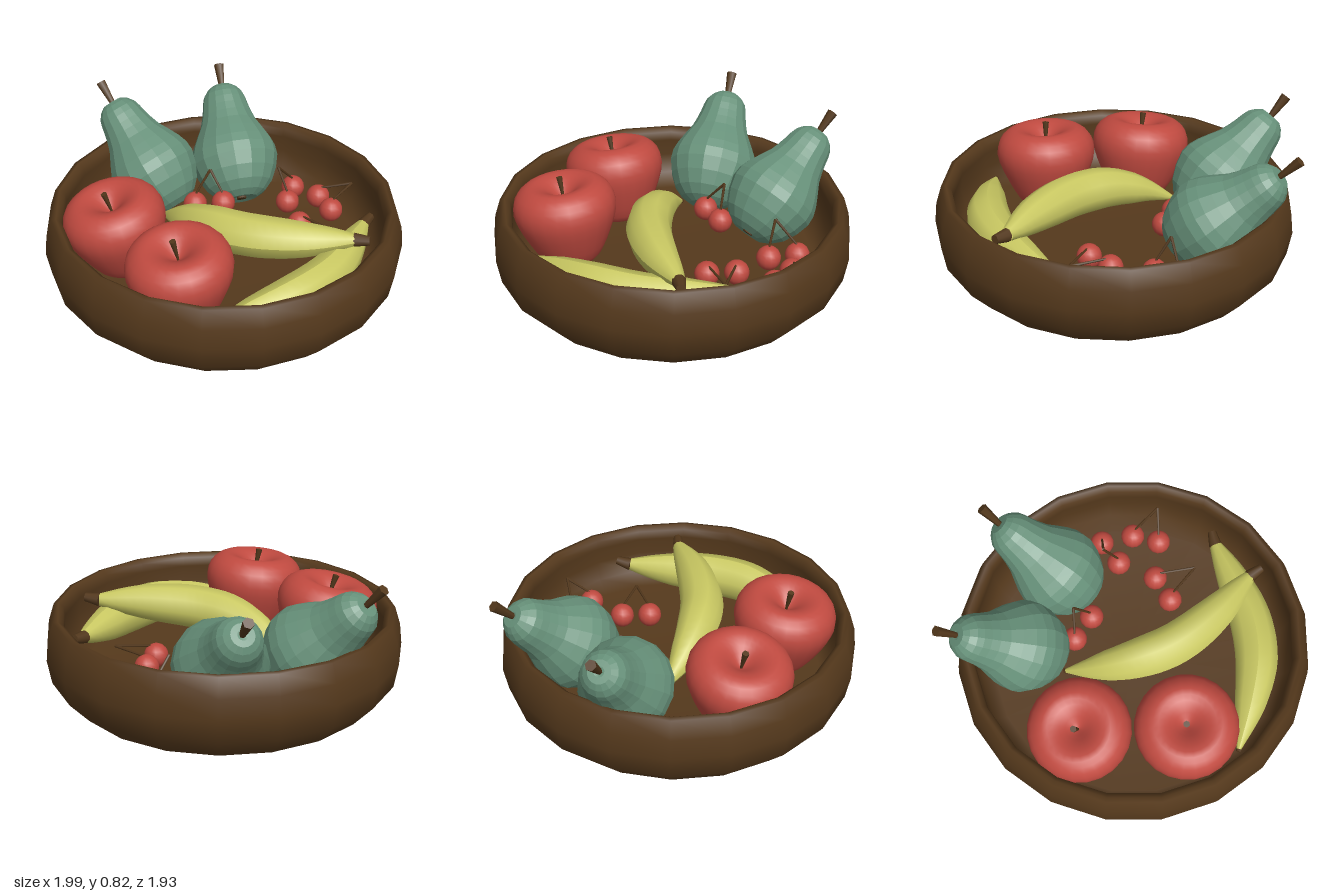
import * as THREE from 'three';

const V = (a) => new THREE.Vector3(...a);
const UP = new THREE.Vector3(0, 1, 0);
const mat = (color, extra = {}) => new THREE.MeshStandardMaterial({ color, ...extra });
const wood = mat(0x55391c, { side: THREE.DoubleSide });
const stemMat = mat(0x53381c);
const pearMat = mat(0x67917a, { flatShading: true });
const appleMat = mat(0xc04a40);
const bananaMat = mat(0xc9c862);

function mesh(name, geometry, material) {
  const m = new THREE.Mesh(geometry, material);
  m.name = name;
  return m;
}

function lathe(name, profile, sides, material) {
  return mesh(name, new THREE.LatheGeometry(profile.map(([r, y]) => new THREE.Vector2(r, y)), sides), material);
}

// Tapered rod from a to b
function rod(name, a, b, ra, rb, sides = 6) {
  const d = b.clone().sub(a);
  const m = mesh(name, new THREE.CylinderGeometry(rb, ra, d.length(), sides), stemMat);
  m.position.copy(a).addScaledVector(d, 0.5);
  m.quaternion.setFromUnitVectors(UP, d.normalize());
  return m;
}

// Smooth profile through a few [radius, height] points
function smooth(points, n) {
  const curve = new THREE.SplineCurve(points.map(([r, y]) => new THREE.Vector2(r, y)));
  return curve.getPoints(n).map((p) => [Math.max(p.x, 0), p.y]);
}

// Fruit leaning along a direction
function lean(name, center, direction, parts) {
  const g = new THREE.Group();
  g.name = name;
  g.add(...parts);
  g.position.copy(V(center));
  g.quaternion.setFromUnitVectors(UP, V(direction).normalize());
  return g;
}

function pear(center, direction) {
  const body = lathe('pearBody', smooth([
    [0, -0.2], [0.09, -0.225], [0.19, -0.15], [0.25, 0], [0.228, 0.11],
    [0.165, 0.23], [0.135, 0.33], [0.115, 0.41], [0.06, 0.465], [0, 0.46],
  ], 18), 16, pearMat);
  return lean('pear', center, direction, [
    body,
    rod('pearStem', V([0, 0.44, 0]), V([0.01, 0.6, 0]), 0.014, 0.029),
    rod('pearCalyx', V([0, -0.225, 0]), V([0, -0.18, 0]), 0.03, 0.02),
  ]);
}

function apple(center, direction) {
  const body = lathe('appleBody', smooth([
    [0, -0.18], [0.07, -0.22], [0.15, -0.2], [0.225, -0.07], [0.275, 0.07],
    [0.255, 0.17], [0.18, 0.225], [0.1, 0.205], [0.03, 0.15], [0, 0.13],
  ], 24), 24, appleMat);
  return lean('apple', center, direction, [
    body, rod('appleStem', V([0, 0.13, 0]), V([-0.01, 0.255, 0.01]), 0.006, 0.018),
  ]);
}

// Curved tube whose radius follows a list of values spread along its length
function banana(path, stemEnd) {
  const segs = 24, sides = 10;
  const radii = [0.012, 0.05, 0.085, 0.105, 0.118, 0.12, 0.118, 0.11, 0.095, 0.07, 0.035];
  const curve = new THREE.CatmullRomCurve3(path.map(V));
  const geo = new THREE.TubeGeometry(curve, segs, 1, sides);
  const pos = geo.attributes.position, nor = geo.attributes.normal;
  for (let i = 0; i <= segs; i++) {
    const center = curve.getPointAt(i / segs);
    const f = (i / segs) * (radii.length - 1), k = Math.min(Math.floor(f), radii.length - 2);
    const r = THREE.MathUtils.lerp(radii[k], radii[k + 1], f - k);
    for (let j = 0; j <= sides; j++) {
      const id = i * (sides + 1) + j;
      const p = new THREE.Vector3().fromBufferAttribute(nor, id).multiplyScalar(r).add(center);
      pos.setXYZ(id, p.x, p.y, p.z);
    }
  }
  geo.computeVertexNormals();
  const g = new THREE.Group();
  g.name = 'banana';
  const first = V(path[0]), last = V(path[path.length - 1]);
  const out = first.clone().sub(curve.getPointAt(0.03)).normalize().multiplyScalar(0.012).add(first);
  g.add(mesh('bananaBody', geo, bananaMat),
    rod('bananaTip', first, out, 0.016, 0.014),
    rod('bananaStem', last, V(stemEnd), 0.037, 0.024, 8));
  return g;
}

// Two cherries whose stems meet at an apex
function cherryPair(a, b, apex) {
  const g = new THREE.Group();
  g.name = 'cherryPair';
  for (const c of [a, b]) {
    const ball = mesh('cherry', new THREE.SphereGeometry(0.067, 14, 10), appleMat);
    ball.position.copy(V(c));
    g.add(ball, rod('cherryStem', V(c).add(new THREE.Vector3(0, 0.055, 0)), V(apex), 0.006, 0.008, 5));
  }
  return g;
}

export function createModel() {
  const model = new THREE.Group();
  model.name = 'fruitBowl';

  // Bowl with rounded rim and hollow inside
  const bowl = lathe('bowl', [
    [0, 0], [0.835, 0.01], [0.837, 0.012], [0.943, 0.13], [0.965, 0.26], [0.952, 0.37], [0.92, 0.468],
    [0.895, 0.472], [0.868, 0.45], [0.862, 0.4], [0.875, 0.3], [0.85, 0.19], [0.78, 0.12], [0, 0.12],
  ], 20, wood);
  bowl.position.x = 0.035;
  model.add(bowl);

  // Pears leaning on the rim
  model.add(pear([-0.55, 0.37, -0.06], [-0.42, 0.42, 0.005]));
  model.add(pear([-0.3, 0.36, -0.465], [-0.375, 0.41, -0.255]));

  // Apples
  model.add(apple([-0.315, 0.335, 0.45], [-0.13, 1, 0.16]));
  model.add(apple([0.23, 0.345, 0.53], [-0.02, 1, 0.12]));

  // Bananas, one lying across the other
  model.add(banana([
    [-0.35, 0.24, 0.07], [-0.18, 0.31, 0.1], [0.03, 0.365, 0.105], [0.25, 0.385, 0.06],
    [0.49, 0.4, -0.07], [0.72, 0.415, -0.25],
  ], [0.795, 0.425, -0.285]));
  model.add(banana([
    [0.5, 0.25, 0.66], [0.61, 0.265, 0.42], [0.69, 0.28, 0.18], [0.7, 0.28, -0.06],
    [0.65, 0.29, -0.3], [0.59, 0.31, -0.51],
  ], [0.583, 0.325, -0.59]));

  // Cherries
  model.add(cherryPair([-0.035, 0.2, -0.68], [0.04, 0.2, -0.54], [-0.045, 0.39, -0.55]));
  model.add(cherryPair([0.145, 0.21, -0.69], [0.285, 0.21, -0.63], [0.305, 0.32, -0.79]));
  model.add(cherryPair([0.23, 0.2, -0.415], [0.29, 0.2, -0.27], [0.455, 0.26, -0.415]));
  model.add(cherryPair([-0.165, 0.26, -0.215], [-0.275, 0.26, -0.1], [-0.26, 0.44, -0.21]));

  return model;
}
